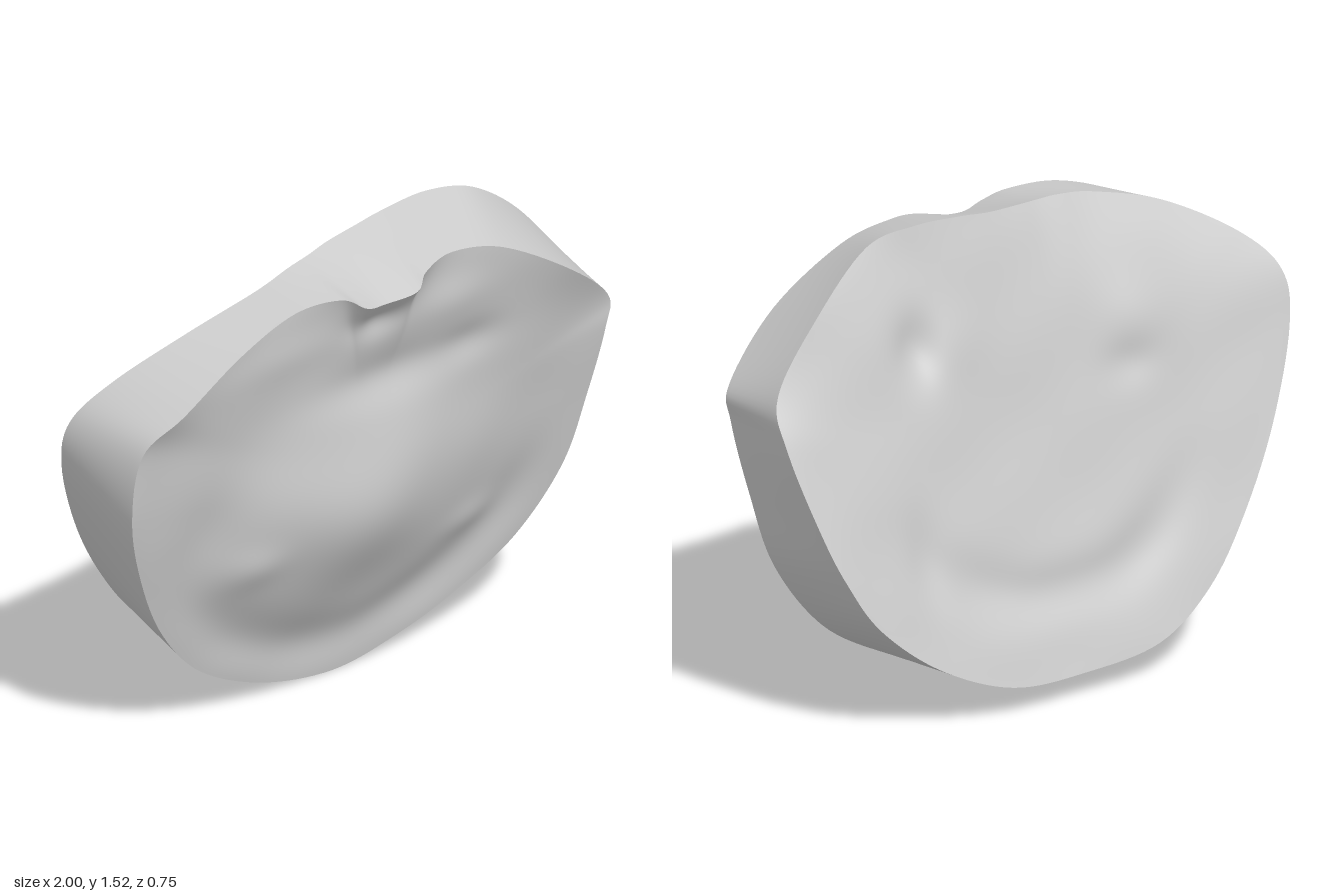
import * as THREE from 'three';
import { mergeVertices } from 'three/addons/utils/BufferGeometryUtils.js';

const N = 200; // steps round the rim

// rim outlines, counter-clockwise from the bottom: x, y, offset from the leaning plane
const FRONT = [
  [0, 0, 0], [.25, .045, 0], [.48, .13, 0], [.71, .265, 0], [.86, .48, .01],
  [.92, .72, .01], [.955, .95, .01], [.95, 1.07, 0], [.72, 1.25, .03], [.45, 1.4, 0],
  [.25, 1.44, -.015], [.12, 1.42, .015], [.05, 1.385, .06], [-.07, 1.375, .05], [-.16, 1.39, .06],
  [-.23, 1.425, .01], [-.4, 1.42, -.015], [-.62, 1.34, 0], [-.85, 1.2, .02], [-.97, 1.08, -.015],
  [-.985, .85, 0], [-.9, .6, 0], [-.77, .37, 0], [-.58, .18, 0], [-.3, .05, 0]];
const BACK = [
  [.03, .085, 0], [.32, .1, -.005], [.58, .205, 0], [.78, .365, 0], [.88, .53, 0],
  [.94, .7, .01], [.995, .95, .03], [.98, 1.11, .05], [.8, 1.32, .02], [.56, 1.485, .025],
  [.38, 1.52, 0], [.2, 1.51, .005], [.08, 1.495, .015], [-.05, 1.485, .035], [-.15, 1.475, .06],
  [-.25, 1.465, .08], [-.4, 1.435, .105], [-.65, 1.36, .095], [-.88, 1.23, .04], [-.99, 1.1, 0],
  [-.98, .93, 0], [-.85, .66, 0], [-.68, .42, 0], [-.5, .235, 0], [-.27, .115, -.005]];

// hills and dents: x, y, x radius, y radius, height along z
const FRONT_BUMPS = [
  [-.08, .64, .48, .33, .15], [-.06, 1.31, .1, .06, -.035], [.05, 1.08, .3, .08, -.025],
  [.38, 1.09, .12, .06, -.015], [.25, 1.27, .18, .08, .015], [-.38, 1.27, .25, .08, .01],
  [-.48, .54, .1, .07, .015], [.47, .42, .12, .06, .01], [-.65, .7, .12, .15, -.015]];
const BACK_BUMPS = [
  [0, .7, .6, .35, .012], [.45, 1.15, .08, .1, .035], [.3, 1.15, .12, .12, -.015],
  [.55, .52, .07, .14, .015], [-.42, 1.1, .14, .12, -.02], [-.35, .95, .1, .07, .015]];

const frontPlane = y => .03 + .205 * y;
const backPlane = y => -.4 + .29 * y;

// smooth closed rim; z keeps the offset from the plane
function rim(points) {
  const curve = new THREE.CatmullRomCurve3(points.map(p => new THREE.Vector3(...p)), true, 'catmullrom', .5);
  return Array.from({ length: N }, (_, j) => curve.getPoint(j / N));
}

const relief = (bumps, x, y) => bumps.reduce((sum, [cx, cy, rx, ry, h]) =>
  sum + h * Math.exp(-(((x - cx) / rx) ** 2) - ((y - cy) / ry) ** 2), 0)
  + .003 * Math.sin(11 * x + 4 * y) * Math.sin(13 * y - 3 * x);

// surface made of closed loops, rows + 1 of them
function loft(name, rows, flip, point, material) {
  const positions = [], index = [];
  for (let i = 0; i <= rows; i++)
    for (let j = 0; j < N; j++) positions.push(...point(i / rows, j));
  for (let i = 0; i < rows; i++)
    for (let j = 0; j < N; j++) {
      const k = (j + 1) % N;
      const a = i * N + j, b = a + N, c = (i + 1) * N + k, d = i * N + k;
      index.push(...(flip ? [a, c, b, a, d, c] : [a, b, c, a, c, d]));
    }
  let geometry = new THREE.BufferGeometry();
  geometry.setAttribute('position', new THREE.Float32BufferAttribute(positions, 3));
  geometry.setIndex(index);
  geometry = mergeVertices(geometry, 1e-5);
  geometry.computeVertexNormals();
  const mesh = new THREE.Mesh(geometry, material);
  mesh.name = name;
  return mesh;
}

export function createModel() {
  const group = new THREE.Group();
  group.name = 'leaningSlab';
  const material = new THREE.MeshStandardMaterial({ color: 0xcccccc });
  const front = rim(FRONT), back = rim(BACK);

  // face spreading from the middle (s = 0) to the rim (s = 1), with a groove round its lower half
  const face = (outline, plane, bumps, groove, at, width) => (s, j) => {
    const p = outline[j];
    const x = p.x * s, y = .75 + (p.y - .75) * s;
    const low = THREE.MathUtils.smoothstep(.75 - y, 0, .4);
    const shape = relief(bumps, x, y) + groove * low * Math.exp(-(((s - at) / width) ** 2));
    return [x, y, plane(y) + p.z * s ** 6 + shape * (1 - s ** 12)];
  };
  group.add(loft('frontFace', 60, false, face(front, frontPlane, FRONT_BUMPS, -.025, .82, .13), material));
  group.add(loft('backFace', 60, true, face(back, backPlane, BACK_BUMPS, .025, .62, .13), material));

  // wall between the two rims
  group.add(loft('sideWall', 12, true, (t, j) => {
    const b = back[j], f = front[j];
    return new THREE.Vector3(b.x, b.y, backPlane(b.y) + b.z)
      .lerp(new THREE.Vector3(f.x, f.y, frontPlane(f.y) + f.z), t);
  }, material));
  return group;
}
